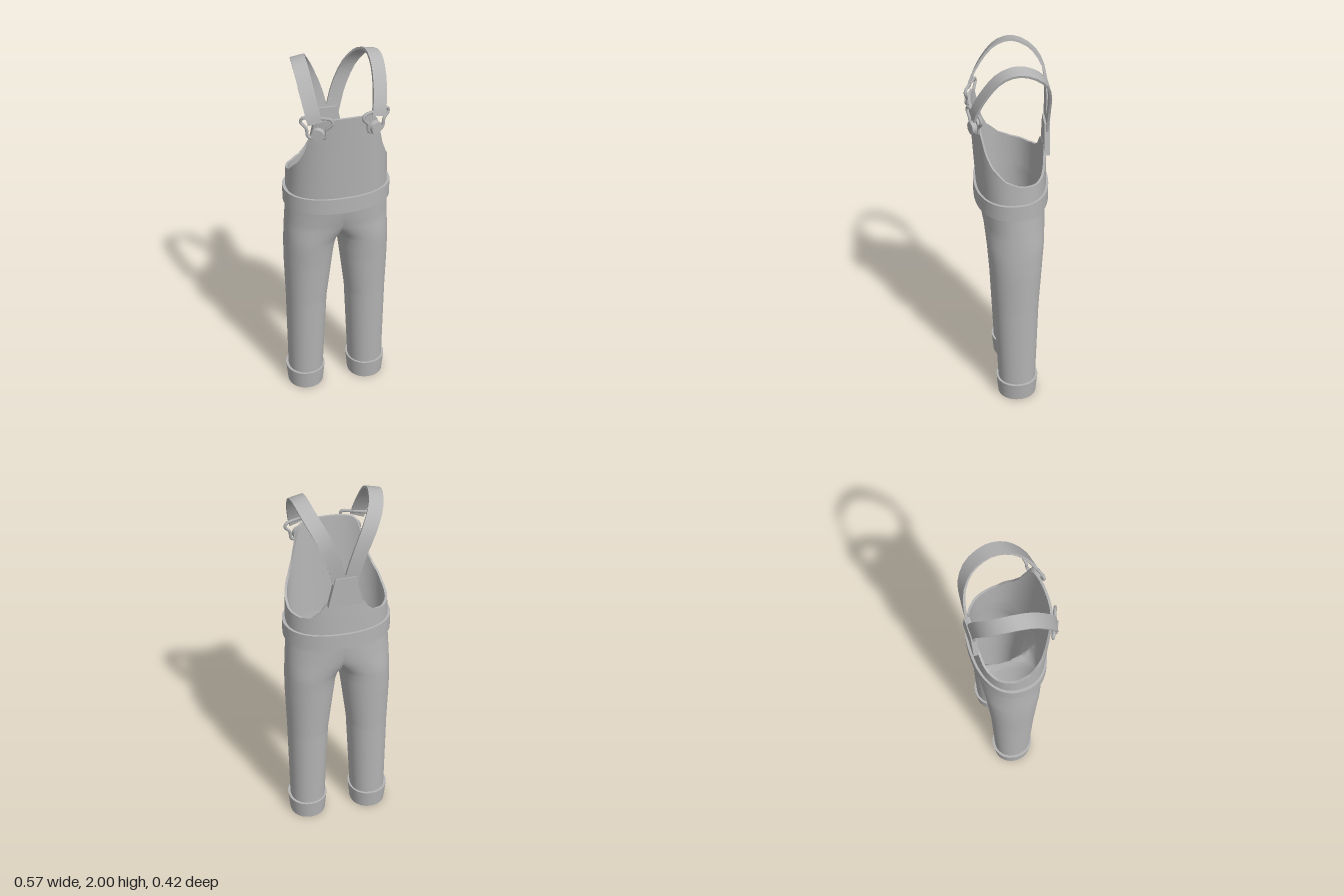
import * as THREE from 'three';
import { mergeGeometries, mergeVertices, toCreasedNormals } from 'three/addons/utils/BufferGeometryUtils.js';

const cloth = new THREE.MeshStandardMaterial({ color: 0xb4b4b4, side: THREE.DoubleSide });
cloth.name = 'grey cloth';

// Linear lookup in rows of [key, a, b, ...]; returns [a, b, ...]
function lookup(rows, key) {
  let i = 0;
  while (i < rows.length - 2 && key > rows[i + 1][0]) i++;
  const [a, b] = [rows[i], rows[i + 1]];
  const t = THREE.MathUtils.clamp((key - a[0]) / (b[0] - a[0]), 0, 1);
  return a.slice(1).map((v, k) => THREE.MathUtils.lerp(v, b[k + 1], t));
}

// Point of a superellipse: returns [x, z] factors in -1..1
function superPoint(angle, n) {
  const f = (v) => Math.sign(v) * Math.abs(v) ** (2 / n);
  return [f(Math.cos(angle)), f(Math.sin(angle))];
}

// Skin over a grid of points; rings are closed, rows may be closed too
function skin(rowCount, ringCount, point, closeRows = false) {
  const pos = [];
  const index = [];
  for (let r = 0; r < rowCount; r++) {
    for (let c = 0; c < ringCount; c++) pos.push(...point(r, c));
  }
  const addFace = (...face) => {
    // leave out walls lying in the middle plane
    if (face.some((k) => Math.abs(pos[k * 3]) > 1e-6)) index.push(...face);
  };
  for (let r = 0; r < (closeRows ? rowCount : rowCount - 1); r++) {
    for (let c = 0; c < ringCount; c++) {
      const a = r * ringCount + c;
      const b = r * ringCount + ((c + 1) % ringCount);
      const s = ((r + 1) % rowCount) * ringCount;
      const d = s + c;
      const e = s + ((c + 1) % ringCount);
      addFace(a, d, b);
      addFace(b, d, e);
    }
  }
  const geo = new THREE.BufferGeometry();
  geo.setAttribute('position', new THREE.Float32BufferAttribute(pos, 3));
  geo.setIndex(index);
  geo.computeVertexNormals();
  return geo;
}

function mirrorX(geo) {
  const copy = geo.clone().scale(-1, 1, 1);
  const ix = copy.index.array;
  for (let i = 0; i < ix.length; i += 3) [ix[i], ix[i + 1]] = [ix[i + 1], ix[i]];
  return copy;
}

function part(name, geo) {
  const mesh = new THREE.Mesh(geo, cloth);
  mesh.name = name;
  return mesh;
}

// Closed band: profile rows of [y, grow] around an oval
function band(cx, cz, rx, rz, n, profile, sides = 48) {
  return toCreasedNormals(skin(profile.length, sides, (r, c) => {
    const [x, z] = superPoint((c / sides) * Math.PI * 2, n);
    const [y, grow] = profile[r];
    return [cx + x * (rx + grow), y, cz + z * (rz + grow)];
  }, true), 0.6);
}

// Trouser legs: [y, centre x, radius x, back z, front z], joined at the middle plane
function makeTrousers() {
  const rows = [
    [0.02, 0.175, 0.093, -0.135, 0.062],
    [0.12, 0.174, 0.097, -0.138, 0.068],
    [0.6, 0.165, 0.11, -0.15, 0.09],
    [0.85, 0.153, 0.128, -0.165, 0.108],
    [0.95, 0.146, 0.134, -0.171, 0.118],
    [1.0, 0.137, 0.141, -0.175, 0.123],
    [1.05, 0.11, 0.166, -0.178, 0.128],
    [1.1, 0.07, 0.203, -0.182, 0.134],
    [1.2, 0, 0.268, -0.19, 0.155],
    [1.26, 0, 0.266, -0.192, 0.163],
  ];
  const sides = 56;
  const levels = 63;
  const half = skin(levels, sides, (r, c) => {
    const y = 0.02 + r * 0.02;
    const [cx, rx, back, front] = lookup(rows, y);
    const [x, z] = superPoint((c / sides) * Math.PI * 2, 2.15);
    return [Math.max(0, cx + x * rx), y, (front + back) / 2 + (z * (front - back)) / 2];
  });
  half.deleteAttribute('normal');
  const geo = mergeVertices(mergeGeometries([half, mirrorX(half)]), 1e-4);
  geo.computeVertexNormals();
  return geo;
}

// Bib and back, cut along a curved armhole, with a thin hem
function makeBib() {
  const size = [[1.22, 0.266, -0.192, 0.16], [1.4, 0.26, -0.19, 0.172], [1.76, 0.25, -0.18, 0.195]];
  const hem = [
    [-1, 1.5], [-0.965, 1.485], [-0.92, 1.43], [-0.85, 1.4], [-0.67, 1.388], [-0.17, 1.4],
    [0.22, 1.43], [0.57, 1.5], [0.7, 1.56], [0.79, 1.66], [0.845, 1.73], [0.9, 1.75], [1, 1.757],
  ];
  const sides = 112;
  const steps = 10;
  const geo = skin(steps * 2 + 2, sides, (r, c) => {
    const [x, z] = superPoint((c / sides) * Math.PI * 2, 2.35);
    const inside = r > steps;
    const t = (inside ? steps * 2 + 1 - r : r) / steps;
    const y = THREE.MathUtils.lerp(1.22, lookup(hem, z)[0], t);
    const [rx, back, front] = lookup(size, y);
    const thin = inside ? 0.012 : 0;
    return [x * (rx - thin), y, (front + back) / 2 + z * ((front - back) / 2 - thin)];
  });
  return toCreasedNormals(geo, 0.8);
}

// Strap: flat ribbon swept over the shoulder
function makeStrap(side) {
  const path = new THREE.CatmullRomCurve3([
    [0.026, 1.6, -0.19], [0.062, 1.74, -0.197], [0.115, 1.87, -0.184], [0.16, 1.953, -0.128],
    [0.184, 1.992, -0.035], [0.187, 1.965, 0.05], [0.18, 1.882, 0.122], [0.166, 1.79, 0.17], [0.157, 1.745, 0.182],
  ].map(([x, y, z]) => new THREE.Vector3(x * side, y, z)));
  const steps = 20;
  const geo = skin(steps + 1, 4, (r, c) => {
    const p = path.getPoint(r / steps);
    const along = path.getTangent(r / steps);
    const out = new THREE.Vector3(p.x * 0.25, Math.max(0, p.y - 1.74), p.z);
    const across = new THREE.Vector3().crossVectors(along, out).normalize();
    out.crossVectors(across, along).normalize();
    p.addScaledVector(across, c === 0 || c === 3 ? -0.036 : 0.036);
    p.addScaledVector(out, c < 2 ? -0.006 : 0.006);
    return p.toArray();
  });
  // end caps
  const last = steps * 4;
  geo.setIndex([...geo.index.array, 0, 1, 2, 0, 2, 3, last, last + 2, last + 1, last, last + 3, last + 2]);
  return toCreasedNormals(geo, 0.6);
}

// Wire buckle hooked around a round button
function makeBuckle(side) {
  const group = new THREE.Group();
  const outline = [[-0.062, 0.054], [0.062, 0.054], [0.077, 0.03], [0.05, -0.002], [0.045, -0.04],
    [0.025, -0.052], [-0.025, -0.052], [-0.045, -0.04], [-0.05, -0.002], [-0.077, 0.03]];
  const wire = new THREE.CatmullRomCurve3(
    outline.map(([x, y]) => new THREE.Vector3(x, y, 0)), true, 'catmullrom', 0.35);
  group.add(part('buckleWire', new THREE.TubeGeometry(wire, 50, 0.008, 6, true)));
  const button = part('button', new THREE.CylinderGeometry(0.031, 0.034, 0.024, 20));
  button.rotation.x = Math.PI / 2;
  button.position.set(-0.006 * side, -0.03, 0.008);
  group.add(button);
  group.position.set(0.148 * side, 1.715, 0.175);
  group.rotation.y = 0.39 * side;
  return group;
}

export function createModel() {
  const model = new THREE.Group();
  model.name = 'dungarees';
  model.add(part('trousers', makeTrousers()), part('bib', makeBib()));

  // Waistband
  model.add(part('waistband', band(0, -0.013, 0.266, 0.178, 2.25,
    [[1.215, -0.005], [1.215, 0.013], [1.3, 0.013], [1.3, -0.008]], 64)));

  // Back patch joining the straps
  const patch = new THREE.Shape([[-0.088, 1.475], [0.088, 1.475], [0.052, 1.635], [-0.052, 1.635]]
    .map(([x, y]) => new THREE.Vector2(x, y)));
  const patchMesh = part('backPatch', new THREE.ExtrudeGeometry(patch, { depth: 0.028, bevelEnabled: false }));
  patchMesh.position.z = -0.204;
  model.add(patchMesh);

  for (const [side, label] of [[1, 'left'], [-1, 'right']]) {
    model.add(part(label + 'Cuff', band(0.176 * side, -0.036, 0.098, 0.104, 2.1,
      [[0, -0.016], [0, 0.001], [0.11, 0.011], [0.11, -0.003], [0.04, -0.016]])));
    model.add(part(label + 'Strap', makeStrap(side)));
    const buckle = makeBuckle(side);
    buckle.name = label + 'Buckle';
    model.add(buckle);
  }
  return model;
}
